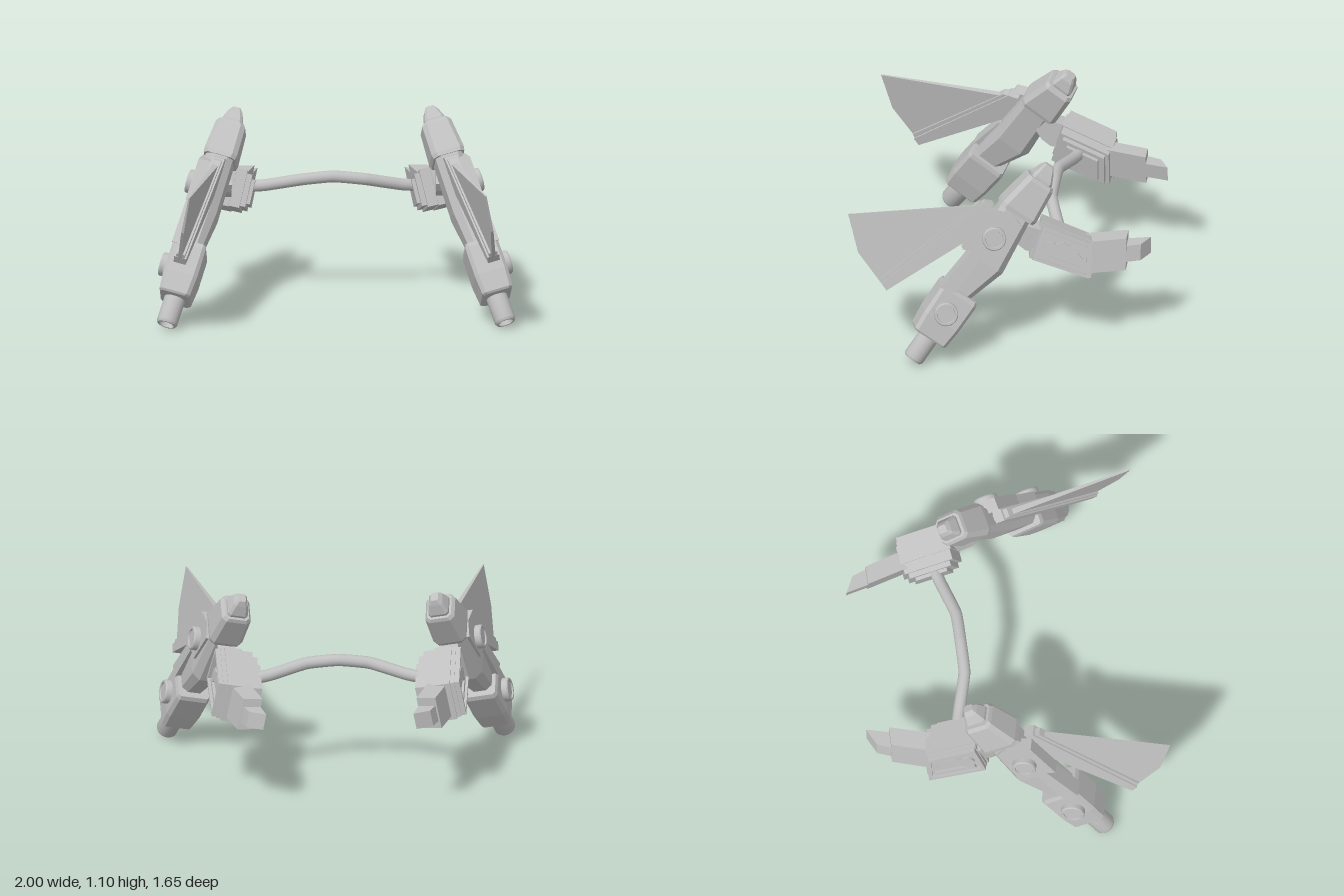
import * as THREE from 'three';
import { toCreasedNormals } from 'three/addons/utils/BufferGeometryUtils.js';

const steel = new THREE.MeshStandardMaterial({ color: 0xbfbfbf });
steel.name = 'pale steel';

function add(parent, name, geometry) {
  const mesh = new THREE.Mesh(geometry, steel);
  mesh.name = name;
  parent.add(mesh);
  return mesh;
}

// Chamfered-box loft; each section is [distance down, half width, back z, front z, chamfer]
function loft(sections) {
  const rings = sections.map(([a, h, b, f, c]) => [
    [h, f - c], [h, b + c], [h - c, b], [c - h, b],
    [-h, b + c], [-h, f - c], [c - h, f], [h - c, f],
  ].map(([x, z]) => [x, -a, z]));
  const out = [];
  const tri = (...p) => p.forEach((v) => out.push(...v));
  for (let r = 0; r < rings.length - 1; r++) {
    for (let i = 0; i < 8; i++) {
      const j = (i + 1) % 8, up = rings[r], low = rings[r + 1];
      tri(low[i], low[j], up[j]);
      tri(low[i], up[j], up[i]);
    }
  }
  const top = rings[0], end = rings[rings.length - 1];
  for (let i = 1; i < 7; i++) {
    tri(top[0], top[i], top[i + 1]);
    tri(end[0], end[i + 1], end[i]);
  }
  const g = new THREE.BufferGeometry();
  g.setAttribute('position', new THREE.Float32BufferAttribute(out, 3));
  g.computeVertexNormals();
  return g;
}

const shapeOf = (pts) => new THREE.Shape(pts.map(([a, b]) => new THREE.Vector2(a, b)));

// Side plate: (z, y) outline spanning x0 to x1, with an optional hole
function plate(pts, x0, x1, hole) {
  const shape = shapeOf(pts);
  if (hole) shape.holes.push(shapeOf(hole));
  return new THREE.ExtrudeGeometry(shape, { depth: x1 - x0, bevelEnabled: false })
    .rotateY(-Math.PI / 2).translate(x1, 0, 0);
}

// Move the x of every vertex by a rule
function reshapeX(geometry, rule) {
  const p = geometry.attributes.position;
  for (let i = 0; i < p.count; i++) p.setX(i, rule(p.getX(i), p.getY(i), p.getZ(i)));
  geometry.computeVertexNormals();
  return geometry;
}

// Slab with an (x, z) outline from y0 to y1, its top leaning inwards
function leaningSlab(pts, y0, y1) {
  const g = new THREE.ExtrudeGeometry(shapeOf(pts.map(([x, z]) => [x, -z])), { depth: y1 - y0, bevelEnabled: false })
    .rotateX(-Math.PI / 2).translate(0, y0, 0);
  return reshapeX(g, (x, y) => x - 0.2 * (y - (y0 + y1) / 2));
}

function lathe(pts, n) {
  return toCreasedNormals(new THREE.LatheGeometry(pts.map(([r, y]) => new THREE.Vector2(r, y)), n), 0.6);
}

// Scale an outline about its middle
function inset(pts, k) {
  const cx = pts.reduce((s, p) => s + p[0], 0) / pts.length;
  const cy = pts.reduce((s, p) => s + p[1], 0) / pts.length;
  return pts.map(([x, y]) => [cx + (x - cx) * k, cy + (y - cy) * k]);
}

// Slanted arm with its barrel and fin; local y runs up the arm, z towards the fin
function buildArm() {
  const arm = new THREE.Group();
  arm.name = 'arm';
  const top = new THREE.Vector3(0.53, 1.1, -0.28);
  const up = top.clone().sub(new THREE.Vector3(0.945, 0.04, 0.45)).normalize();
  const side = new THREE.Vector3(0.949, 0.219, -0.222);
  side.addScaledVector(up, -side.dot(up)).normalize();
  const fore = side.clone().cross(up);
  arm.quaternion.setFromRotationMatrix(new THREE.Matrix4().makeBasis(side, up, fore));
  arm.position.copy(top);

  add(arm, 'tip', loft([[0.018, 0.022, -0.025, 0.028, 0.008], [0.045, 0.04, -0.042, 0.042, 0.012],
    [0.1, 0.058, -0.068, 0.058, 0.015], [0.14, 0.058, -0.068, 0.058, 0.015]]));
  add(arm, 'upperHousing', loft([[0.115, 0.07, -0.083, 0.075, 0.02], [0.135, 0.085, -0.092, 0.083, 0.025],
    [0.32, 0.095, -0.11, 0.115, 0.025], [0.345, 0.09, -0.105, 0.115, 0.025]]));
  add(arm, 'shaft', loft([[0.32, 0.078, -0.08, 0.11, 0.03], [0.67, 0.082, -0.128, 0.1, 0.04],
    [0.9, 0.066, -0.06, 0.1, 0.03]]));
  add(arm, 'lowerHousing', loft([[0.885, 0.088, -0.098, 0.118, 0.012], [0.91, 0.095, -0.108, 0.125, 0.018],
    [1.08, 0.097, -0.108, 0.122, 0.02], [1.19, 0.088, -0.1, 0.11, 0.018], [1.2, 0.08, -0.092, 0.1, 0.018]]));
  add(arm, 'barrel', lathe([[0, -1.325], [0.042, -1.325], [0.042, -1.358], [0.052, -1.358],
    [0.06, -1.345], [0.06, -1.15]], 24));

  // Raised outer panels and round bosses
  add(arm, 'upperPanel', plate([[0.04, -0.345], [0.16, -0.415], [0.152, -0.67], [-0.035, -0.6], [-0.045, -0.38]], 0.02, 0.095));
  add(arm, 'shaftPanel', plate([[0.037, -0.6], [0.106, -0.65], [0.128, -0.92], [0.04, -0.9]], 0, 0.098));
  for (const [y, z] of [[-0.52, 0.045], [-1.025, 0.02]]) {
    const boss = add(arm, 'boss', lathe([[0.067, 0], [0.067, 0.035], [0.062, 0.042], [0.05, 0.042],
      [0.048, 0.034], [0, 0.034]], 24).rotateZ(-Math.PI / 2));
    boss.position.set(0.09, y, z);
  }

  // Fin blade thinning to its tip, with a stepped rim along its root
  const blade = plate([[0.13, -0.38], [0.78, -0.873], [0.605, -1.024], [0.39, -1.1], [0.16, -0.45]], -0.018, 0.018);
  add(arm, 'fin', reshapeX(blade, (x, y, z) => -0.015 + x * (1 - 1.2 * (z - 0.13))));
  add(arm, 'finRim', plate([[0.14, -0.37], [0.185, -0.39], [0.4, -1.095], [0.355, -1.112], [0.13, -0.6]], -0.05, 0.02));
  add(arm, 'finRimStep', plate([[0.17, -0.39], [0.21, -0.415], [0.42, -1.082], [0.39, -1.098]], -0.04, 0.01));
  return arm;
}

// Rear pod carrying the cross bar and a tapering tail
function buildPod() {
  const pod = new THREE.Group();
  pod.name = 'pod';
  // The block turns inwards to the rear and leans inwards at the top
  const block = new THREE.Group();
  block.name = 'podBlock';
  block.position.set(0.59, 0.61, -0.35);
  block.rotation.set(0, 0.14, 0.2, 'YZX');
  pod.add(block);

  const outline = [[0.12, 0.165], [-0.163, 0.042], [-0.155, -0.175], [0.19, -0.05]];
  add(block, 'podCore', plate(inset(outline, 0.95), -0.1, 0.085));
  add(block, 'podFlange', plate(outline, -0.04, 0.06));
  add(block, 'podFrame', plate(inset(outline, 0.92), 0.085, 0.112, inset(outline, 0.8)));
  add(block, 'innerPlate', plate(inset(outline, 0.82), -0.13, -0.1));
  add(block, 'innerPad', plate(inset(outline, 0.62), -0.15, -0.13));

  // Relief inside the frame
  const disc = add(block, 'reliefDisc', new THREE.CylinderGeometry(0.04, 0.04, 0.02, 20).rotateZ(Math.PI / 2));
  disc.position.set(0.09, 0.01, 0.07);
  add(block, 'reliefArrow', plate([[0.06, 0.03], [0, 0.05], [-0.04, 0.02], [-0.11, 0.02],
    [-0.08, -0.015], [-0.11, -0.055], [-0.03, -0.025], [0.04, -0.015]], 0.08, 0.1));
  add(block, 'upperReliefBar', plate([[0.1, 0.115], [-0.115, 0.025], [-0.115, 0.005], [0.1, 0.095]], 0.08, 0.1));
  add(block, 'lowerReliefBar', plate([[0.12, -0.04], [-0.11, -0.125], [-0.11, -0.105], [0.11, -0.02]], 0.08, 0.1));

  add(pod, 'neck', plate([[-0.07, 0.7], [-0.13, 0.77], [-0.25, 0.74], [-0.22, 0.6], [-0.15, 0.61], [-0.1, 0.65]], 0.57, 0.67));
  add(pod, 'tail', leaningSlab([[0.515, -0.46], [0.625, -0.46], [0.552, -0.7], [0.447, -0.7]], 0.465, 0.645));
  add(pod, 'tailTip', leaningSlab([[0.452, -0.69], [0.547, -0.69], [0.513, -0.778], [0.419, -0.825]], 0.507, 0.598));
  return pod;
}

export function createModel() {
  const model = new THREE.Group();
  model.name = 'twinArmFrame';
  for (const sign of [1, -1]) {
    const half = new THREE.Group();
    half.name = sign > 0 ? 'leftHalf' : 'rightHalf';
    half.add(buildArm(), buildPod());
    half.scale.x = sign;
    model.add(half);
  }
  // Bowed bar joining the two pods
  const bow = [[0.48, 0.625, -0.325], [0.38, 0.638, -0.298], [0.175, 0.685, -0.24]];
  const path = [...bow.map(([x, y, z]) => [-x, y, z]), [0, 0.702, -0.238], ...bow.slice().reverse()];
  const curve = new THREE.CatmullRomCurve3(path.map((p) => new THREE.Vector3(...p)), false, 'catmullrom', 0.2);
  add(model, 'crossBar', new THREE.TubeGeometry(curve, 48, 0.034, 14));
  return model;
}
